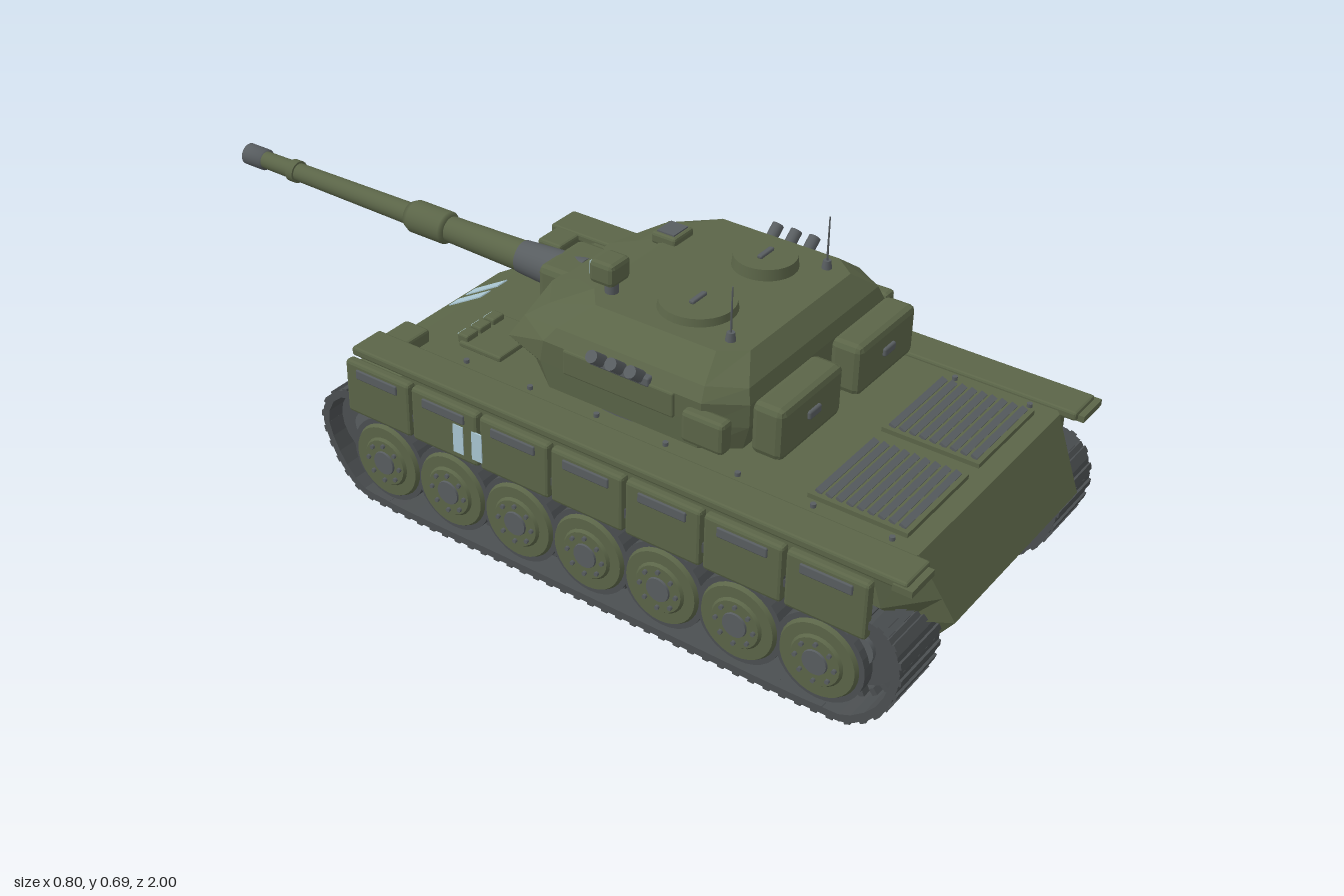
import * as THREE from 'three';
import { RoundedBoxGeometry } from 'three/addons/geometries/RoundedBoxGeometry.js';

const mat = (color, flatShading = false) => {
  const m = new THREE.MeshStandardMaterial({ color, flatShading });
  return m;
};

export function createModel() {
  const tank = new THREE.Group();
  const green = mat(0x5b6548, true), greenSmooth = mat(0x5b6548), steel = mat(0x585d60);
  const trackGrey = mat(0x4b4f51, true), pale = mat(0xa9c6d2);

  function add(name, geo, material, x = 0, y = 0, z = 0, parent = tank) {
    const m = new THREE.Mesh(geo, material);
    m.name = name;
    m.position.set(x, y, z);
    parent.add(m);
    return m;
  }
  const box = (w, h, d) => new THREE.BoxGeometry(w, h, d);
  const bevel = (w, h, d, r) => new RoundedBoxGeometry(w, h, d, 1, r);
  const cyl = (r, h, n = 24, r2 = r) => new THREE.CylinderGeometry(r2, r, h, n);

  // Stacks symmetric outlines: each layer is [y, [x, z] points from front to back on the left side]
  function loft(layers) {
    const pos = [];
    const rings = layers.map(([y, half]) => [
      ...half.map(([x, z]) => [x, y, z]),
      ...half.slice().reverse().map(([x, z]) => [-x, y, z]),
    ]);
    const n = rings[0].length;
    const tri = (...p) => p.forEach((q) => pos.push(...q));
    for (let k = 0; k + 1 < rings.length; k++) {
      const lo = rings[k], up = rings[k + 1];
      for (let i = 0; i < n; i++) {
        const j = (i + 1) % n;
        tri(lo[i], up[i], lo[j]);
        tri(lo[j], up[i], up[j]);
      }
    }
    const bottom = rings[0], top = rings[rings.length - 1];
    for (let i = 1; i + 1 < n; i++) {
      tri(bottom[0], bottom[i], bottom[i + 1]);
      tri(top[0], top[i + 1], top[i]);
    }
    const g = new THREE.BufferGeometry();
    g.setAttribute('position', new THREE.Float32BufferAttribute(pos, 3));
    g.computeVertexNormals();
    return g;
  }

  // Hull with sloped nose and tail
  add('hull', loft([
    [0.085, [[0.195, -0.33], [0.24, -0.27], [0.24, 0.84], [0.195, 0.91]]],
    [0.175, [[0.225, -0.417], [0.245, -0.36], [0.245, 0.9], [0.235, 0.97]]],
    [0.22, [[0.245, -0.46], [0.295, -0.4], [0.3, 0.92], [0.25, 1.0]]],
    [0.27, [[0.255, -0.374], [0.35, -0.31], [0.35, 0.9], [0.26, 0.975]]],
    [0.36, [[0.28, -0.22], [0.35, -0.18], [0.35, 0.87], [0.28, 0.93]]],
  ]), green);

  // Recognition stripes on the nose plate
  for (const x of [0.063, 0.122]) {
    const s = add('noseStripe', box(0.034, 0.004, 0.11), pale, x, 0.2585, -0.395);
    s.rotation.x = -Math.atan2(0.14, 0.24);
  }

  // Engine grilles
  for (const s of [-1, 1]) {
    add('grilleFrame', box(0.23, 0.012, 0.21), green, s * 0.135, 0.364, 0.785);
    for (let i = 0; i < 9; i++) {
      const slat = add('grilleSlat', box(0.21, 0.006, 0.014), steel, s * 0.135, 0.373, 0.697 + i * 0.022);
      slat.rotation.x = 0.4;
    }
  }

  // Driver hatch with three periscopes
  add('driverHatch', bevel(0.14, 0.014, 0.11, 0.004), green, -0.16, 0.364, -0.12);
  for (let i = 0; i < 3; i++) {
    add('driverPeriscope', bevel(0.036, 0.022, 0.028, 0.004), green, -0.205 + i * 0.042, 0.373, -0.17);
    add('periscopeGlass', box(0.026, 0.012, 0.004), pale, -0.205 + i * 0.042, 0.374, -0.185);
  }

  // Track path, given as [z, y]
  const path = new THREE.CatmullRomCurve3([
    [0.8, 0.014], [0.87, 0.022], [0.935, 0.08], [0.96, 0.17], [0.935, 0.235], [0.86, 0.26],
    [0.5, 0.26], [0.1, 0.26], [-0.3, 0.26], [-0.385, 0.235], [-0.417, 0.175], [-0.39, 0.09],
    [-0.33, 0.025], [-0.26, 0.014], [0.1, 0.013], [0.5, 0.013],
  ].map(([z, y]) => new THREE.Vector3(0, y, z)), true);
  const links = 88;
  const linkPoints = path.getSpacedPoints(links);
  const linkLength = path.getLength() / links;

  function buildWheel(parent, x, z, s) {
    const w = new THREE.Group();
    w.name = 'roadWheel';
    w.position.set(x, 0.125, z);
    w.rotation.z = -s * Math.PI / 2;
    parent.add(w);
    add('tyre', cyl(0.096, 0.12, 32), trackGrey, 0, 0, 0, w);
    add('rim', cyl(0.085, 0.01, 32, 0.08), greenSmooth, 0, 0.064, 0, w);
    add('dish', cyl(0.058, 0.008, 24, 0.052), greenSmooth, 0, 0.071, 0, w);
    add('hub', cyl(0.03, 0.014, 20, 0.026), steel, 0, 0.072, 0, w);
    for (let i = 0; i < 8; i++) {
      const a = i * Math.PI / 4;
      add('wheelBolt', cyl(0.005, 0.008, 6), steel, Math.cos(a) * 0.042, 0.077, Math.sin(a) * 0.042, w);
    }
  }

  for (const s of [-1, 1]) {
    const side = new THREE.Group();
    side.name = s > 0 ? 'leftRunningGear' : 'rightRunningGear';
    tank.add(side);

    // Track links with a raised grouser each
    for (let i = 0; i < links; i++) {
      const p = linkPoints[i], t = path.getTangentAt(i / links);
      const link = add('trackLink', box(0.145, 0.016, linkLength * 1.08), trackGrey, s * 0.3145, p.y, p.z, side);
      link.rotation.x = Math.atan2(-t.y, t.z);
      add('grouser', box(0.145, 0.008, linkLength * 0.4), trackGrey, 0, -0.009, 0, link);
      add('guideTooth', box(0.02, 0.018, 0.012), trackGrey, 0, 0.014, 0, link);
    }

    // Road wheels, end wheels
    for (let i = 0; i < 7; i++) buildWheel(side, s * 0.318, 0.8 - i * 0.175, s);
    for (const [z, y] of [[0.865, 0.165], [-0.325, 0.165]]) {
      const e = add('endWheel', cyl(0.082, 0.1, 20), trackGrey, s * 0.3, y, z, side);
      e.rotation.z = Math.PI / 2;
      const h = add('endHub', cyl(0.035, 0.12, 16), steel, s * 0.3, y, z, side);
      h.rotation.z = Math.PI / 2;
    }

    // Fender and skirt panels
    add('fender', bevel(0.085, 0.02, 1.3, 0.005), green, s * 0.333, 0.358, 0.31, side);
    add('rearMudguard', box(0.08, 0.014, 0.04), green, s * 0.34, 0.353, 0.953, side);
    for (let i = 0; i < 7; i++) {
      const z = 0.812 - i * 0.178;
      add('skirtPanel', bevel(0.024, 0.125, 0.172, 0.007), green, s * 0.383, 0.284, z, side);
      add('skirtHandle', bevel(0.008, 0.022, 0.11, 0.003), steel, s * 0.395, 0.323, z, side);
    }
    for (const z of [0.008, -0.04]) {
      add('skirtStripe', box(0.004, 0.066, 0.026), pale, s * 0.395, 0.272, z, side);
    }
    for (let i = 0; i < 7; i++) add('deckBolt', cyl(0.006, 0.008, 8), steel, s * 0.27, 0.364, -0.12 + i * 0.165, side);

    // Headlight block
    add('headlight', bevel(0.08, 0.06, 0.065, 0.006), green, s * 0.262, 0.335, -0.293, side);
    add('headlightLens', box(0.055, 0.028, 0.005), pale, s * 0.262, 0.34, -0.326, side);
  }

  // Turret ring and body
  add('turretRing', cyl(0.245, 0.05, 48), steel, 0, 0.38, 0.24);
  add('turretCollar', cyl(0.235, 0.012, 48), greenSmooth, 0, 0.396, 0.24);
  add('turret', loft([
    [0.4, [[0.1, 0.0], [0.22, 0.02], [0.29, 0.11], [0.29, 0.46], [0.24, 0.53]]],
    [0.455, [[0.1, -0.06], [0.255, -0.02], [0.293, 0.09], [0.293, 0.47], [0.245, 0.545]]],
    [0.505, [[0.1, -0.03], [0.24, 0.01], [0.295, 0.1], [0.295, 0.47], [0.245, 0.545]]],
    [0.533, [[0.1, 0.04], [0.21, 0.05], [0.278, 0.12], [0.278, 0.465], [0.235, 0.535]]],
    [0.575, [[0.1, 0.13], [0.17, 0.13], [0.22, 0.17], [0.22, 0.45], [0.18, 0.5]]],
  ]), green);

  // Gun, turned along its axis as [radius, distance forward]
  const gun = new THREE.Group();
  gun.name = 'gun';
  gun.position.set(0, 0.465, 0);
  gun.rotation.x = -Math.PI / 2;
  tank.add(gun);
  add('mantlet', bevel(0.15, 0.1, 0.09, 0.015), green, 0, 0.04, 0, gun);
  const turned = (name, pts, m) => add(name, new THREE.LatheGeometry(pts.map((p) => new THREE.Vector2(...p)), 28), m, 0, 0, 0, gun);
  const edged = (r0, a, r1, b) => [[0, a], [r0, a], [r0, a], [r1, b], [r1, b], [0, b]];
  turned('gunCollar', edged(0.047, 0.02, 0.036, 0.185), steel);
  turned('barrelSleeve', edged(0.034, 0.18, 0.029, 0.4), greenSmooth);
  turned('fumeExtractor', [[0, 0.385], [0.03, 0.385], [0.037, 0.395], [0.037, 0.485], [0.03, 0.5], [0, 0.5]], greenSmooth);
  turned('barrel', edged(0.025, 0.48, 0.02, 0.95), greenSmooth);
  turned('barrelBand', edged(0.026, 0.84, 0.026, 0.86), greenSmooth);
  turned('muzzle', [[0, 0.97], [0.014, 0.97], [0.014, 1], [0.025, 1], [0.025, 0.945], [0, 0.945]].reverse(), steel);

  // Roof fittings
  function hatch(name, x, z, r, h) {
    add(name, cyl(r, h, 32, r * 0.96), greenSmooth, x, 0.575 + h / 2, z);
    add(name + 'Handle', bevel(0.048, 0.008, 0.012, 0.003), steel, x, 0.578 + h, z);
  }
  hatch('commanderHatch', -0.105, 0.33, 0.08, 0.016);
  hatch('loaderHatch', 0.11, 0.345, 0.068, 0.024);
  add('sightPost', cyl(0.014, 0.04, 12), steel, -0.16, 0.588, 0.165);
  add('sightHead', bevel(0.064, 0.05, 0.058, 0.01), green, -0.16, 0.625, 0.16);
  add('sightGlass', box(0.044, 0.028, 0.005), pale, -0.16, 0.627, 0.13);
  add('gunnerSight', bevel(0.068, 0.026, 0.06, 0.006), green, 0.095, 0.578, 0.13);
  add('gunnerSightCap', box(0.05, 0.004, 0.042), steel, 0.095, 0.592, 0.13);

  for (const s of [-1, 1]) {
    // Antenna
    add('antennaBase', cyl(0.011, 0.02, 12, 0.008), steel, s * 0.172, 0.583, 0.45);
    add('antenna', cyl(0.0025, 0.11, 8, 0.0015), steel, s * 0.172, 0.635, 0.45);

    // Rear stowage box with latch
    add('stowageBox', bevel(0.218, 0.112, 0.07, 0.014), green, s * 0.139, 0.46, 0.583);
    add('stowageLatch', bevel(0.042, 0.018, 0.012, 0.004), steel, s * 0.139, 0.466, 0.619);

    // Side box, side plate and smoke tubes
    add('sideBox', bevel(0.036, 0.068, 0.095, 0.009), green, s * 0.298, 0.455, 0.485);
    add('sidePlate', bevel(0.016, 0.055, 0.26, 0.004), green, s * 0.292, 0.478, 0.28);
    add('tubeRack', bevel(0.02, 0.02, 0.14, 0.004), steel, s * 0.292, 0.508, 0.285);
    for (const z of [0.24, 0.285, 0.33]) {
      const tube = add('smokeTube', cyl(0.013, 0.05, 14), steel, s * 0.307, 0.522, z);
      tube.rotation.z = -s * 0.9;
    }
  }
  return tank;
}
